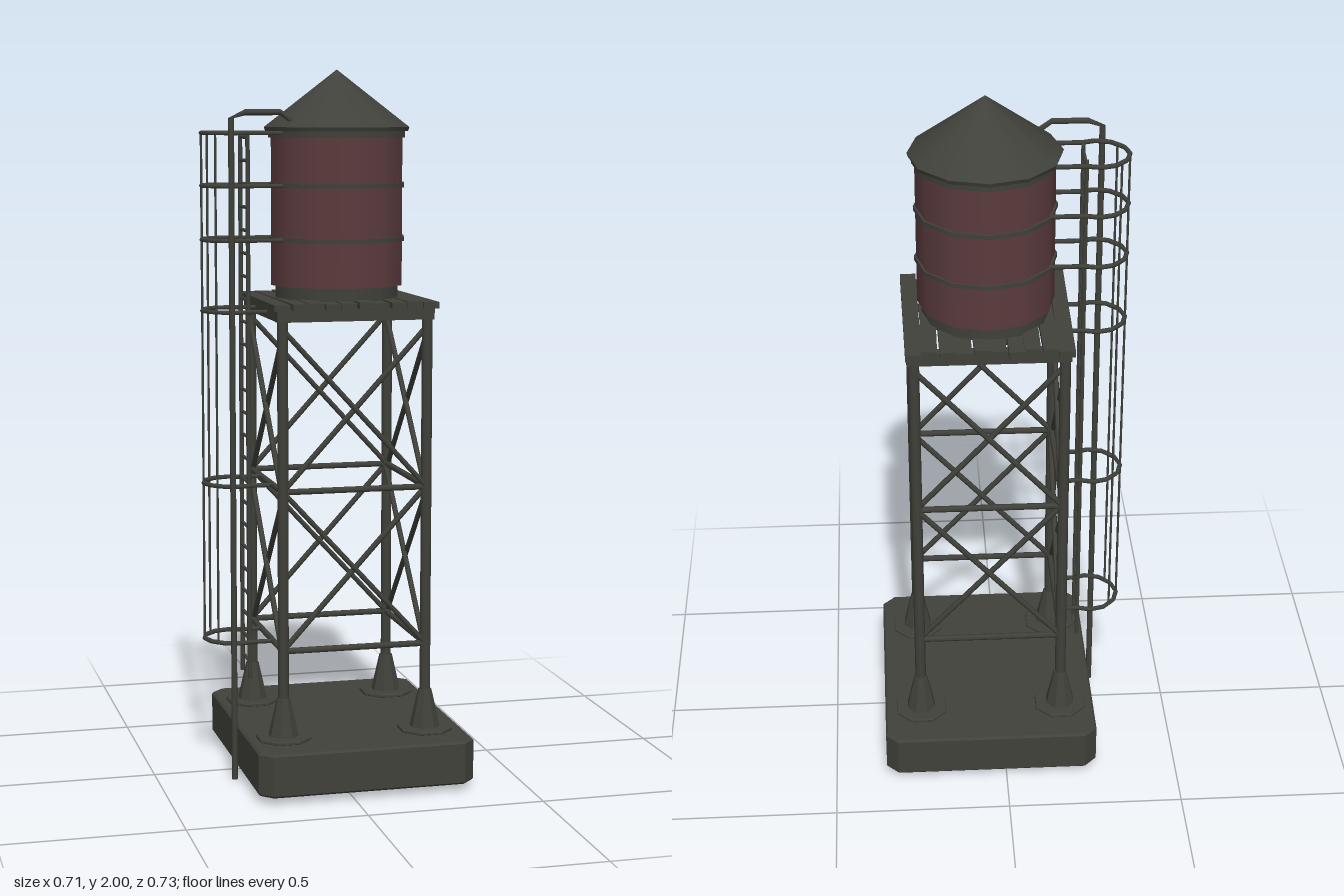
import * as THREE from 'three';

const CX = 0.039; // tower axis
const LEG = 0.206; // leg offset from the axis

export function createModel() {
  const root = new THREE.Group();
  root.name = 'waterTower';
  const iron = new THREE.MeshStandardMaterial({ color: 0x40413a });
  iron.name = 'dark iron';
  const red = new THREE.MeshStandardMaterial({ color: 0x5b3b3d });
  red.name = 'faded red';
  const ironFlat = iron; // one shared colour; hard edges come from the geometry

  const add = (name, geo, mat = iron, parent = root) => {
    const m = new THREE.Mesh(geo, mat);
    m.name = name;
    parent.add(m);
    return m;
  };
  const group = (name) => {
    const g = new THREE.Group();
    g.name = name;
    root.add(g);
    return g;
  };
  const faceted = (geo) => {
    const g = geo.toNonIndexed();
    g.computeVertexNormals();
    return g;
  };
  const V = (x, y, z) => new THREE.Vector3(x, y, z);

  // straight bar between two points
  const bar = (name, a, b, r, parent, sides = 6) => {
    const m = add(name, new THREE.CylinderGeometry(r, r, a.distanceTo(b), sides), iron, parent);
    m.position.copy(a).add(b).multiplyScalar(0.5);
    m.quaternion.setFromUnitVectors(V(0, 1, 0), b.clone().sub(a).normalize());
    return m;
  };
  // bar that follows a list of points
  const path = (name, pts, r, parent, sides = 6) => {
    const curve = new THREE.CurvePath();
    for (let i = 1; i < pts.length; i++) curve.add(new THREE.LineCurve3(pts[i - 1], pts[i]));
    return add(name, new THREE.TubeGeometry(curve, pts.length * 6, r, sides), iron, parent);
  };
  // horizontal slab with cut corners
  const slab = (name, hx, hz, cut, h, bevel, parent) => {
    const x = hx - bevel, z = hz - bevel;
    const s = new THREE.Shape([
      [-x + cut, -z], [x - cut, -z], [x, -z + cut], [x, z - cut],
      [x - cut, z], [-x + cut, z], [-x, z - cut], [-x, -z + cut],
    ].map(([a, b]) => new THREE.Vector2(a, b)));
    const g = new THREE.ExtrudeGeometry(s, {
      depth: h - 2 * bevel, bevelEnabled: true, bevelSegments: 1, bevelSize: bevel, bevelThickness: bevel,
    });
    g.rotateX(-Math.PI / 2).translate(0, bevel, 0);
    return add(name, g, ironFlat, parent);
  };

  // concrete base
  slab('base', 0.309, 0.363, 0.031, 0.123, 0.006, root).position.set(0.043, 0.02, 0);

  // legs with flared feet on octagonal plates
  const legs = group('legs');
  for (const sx of [-1, 1]) for (const sz of [-1, 1]) {
    const x = CX + sx * LEG, z = sz * LEG;
    bar('leg', V(x, 0.15, z), V(x, 1.33, z), 0.0155, legs, 8);
    slab('footPlate', 0.073, 0.073, 0.04, 0.012, 0.003, legs).position.set(x, 0.141, z);
    const foot = add('foot', faceted(new THREE.CylinderGeometry(0.019, 0.044, 0.11, 8)), iron, legs);
    foot.position.set(x, 0.205, z);
    foot.rotation.y = Math.PI / 8;
  }

  // cross bracing on all four sides
  const bracing = group('bracing');
  for (let side = 0; side < 4; side++) {
    const g = new THREE.Group();
    g.name = 'braceSide';
    g.position.x = CX;
    g.rotation.y = side * Math.PI / 2;
    bracing.add(g);
    for (const y of [0.393, 0.843]) {
      bar('crossbar', V(-LEG, y, LEG), V(LEG, y, LEG), 0.009, g);
      for (const s of [-1, 1]) {
        bar('diagonal', V(-s * LEG, y, LEG - 0.004 * s), V(s * LEG, y + 0.45, LEG - 0.004 * s), 0.008, g);
      }
    }
  }

  // platform frame, joists and uneven planks
  const platform = group('platform');
  for (const s of [-1, 1]) {
    add('frameBeam', new THREE.BoxGeometry(0.446, 0.036, 0.03), iron, platform).position.set(CX, 1.332, s * LEG);
    add('frameBeam', new THREE.BoxGeometry(0.03, 0.036, 0.44), iron, platform).position.set(CX + s * LEG, 1.332, 0);
  }
  const shift = [-0.003, 0.002, 0.002, -0.001, 0, 0.002, -0.002, 0.001, 0.002, -0.004];
  shift.forEach((d, i) => {
    const p = add('plank', new THREE.BoxGeometry(0.0445, 0.018, 0.483), iron, platform);
    p.position.set(CX - 0.21 + i * 0.0465, 1.354 + (i % 3) * 0.002, d * 2 - 0.002);
    p.rotation.y = (i % 2 ? 1 : -1) * 0.01;
  });

  // tank
  const tank = group('tank');
  tank.position.x = CX - 0.001;
  const ring = (name, rTop, rBot, y0, y1, mat, open = false) =>
    add(name, new THREE.CylinderGeometry(rTop, rBot, y1 - y0, 12, 1, open), mat, tank).position.y = (y0 + y1) / 2;
  ring('tankFoot', 0.178, 0.178, 1.36, 1.402, iron);
  ring('tankBody', 0.19, 0.19, 1.4, 1.82, red);
  for (const y of [1.53, 1.68]) ring('tankHoop', 0.196, 0.196, y - 0.006, y + 0.006, iron);
  ring('tankRim', 0.198, 0.198, 1.812, 1.834, iron);
  ring('roofEdge', 0.21, 0.206, 1.83, 1.841, iron);
  ring('roof', 0, 0.21, 1.841, 2.0, iron);

  // ladder
  const ladder = group('ladder');
  const LX = -0.229;
  for (const s of [-1, 1]) bar('rail', V(LX, 0.28, s * 0.05), V(LX, 1.83, s * 0.05), 0.0065, ladder);
  for (let y = 0.33; y < 1.82; y += 0.0645) bar('rung', V(LX, y, -0.05), V(LX, y, 0.05), 0.005, ladder);

  // safety cage: hoops with arms reaching back to the tower
  const cage = group('ladderCage');
  const half = [[-0.165, 0.078], [-0.228, 0.078], [-0.264, 0.088], [-0.305, 0.077], [-0.338, 0.043]];
  for (const y of [0.393, 0.843, 1.332, 1.53, 1.68, 1.825]) {
    const reach = y > 1.4 ? -0.13 : -0.165;
    const near = half.map(([x, z], i) => V(i ? x : reach, y, z));
    const far = near.map((p) => V(p.x, y, -p.z)).reverse();
    path('cageHoop', [...near, V(-0.35, y, 0), ...far], 0.0065, cage);
    for (const s of [-1, 1]) bar('railBracket', V(LX, y, s * 0.05), V(LX, y, s * 0.078), 0.005, cage);
  }
  for (const [x, z] of [[-0.322, 0.06], [-0.322, -0.06], [-0.35, 0]]) {
    bar('cageStrip', V(x, 0.393, z), V(x, 1.825, z), 0.0035, cage);
  }

  // water pipe from the ground up and over to the roof
  path('waterPipe', [
    V(-0.284, 0, 0.094), V(-0.284, 1.868, 0.094), V(-0.28, 1.878, 0.094), V(-0.27, 1.882, 0.094),
    V(-0.14, 1.882, 0.094), V(-0.125, 1.877, 0.094), V(-0.108, 1.855, 0.094),
  ], 0.0085, root, 8);

  return root;
}
